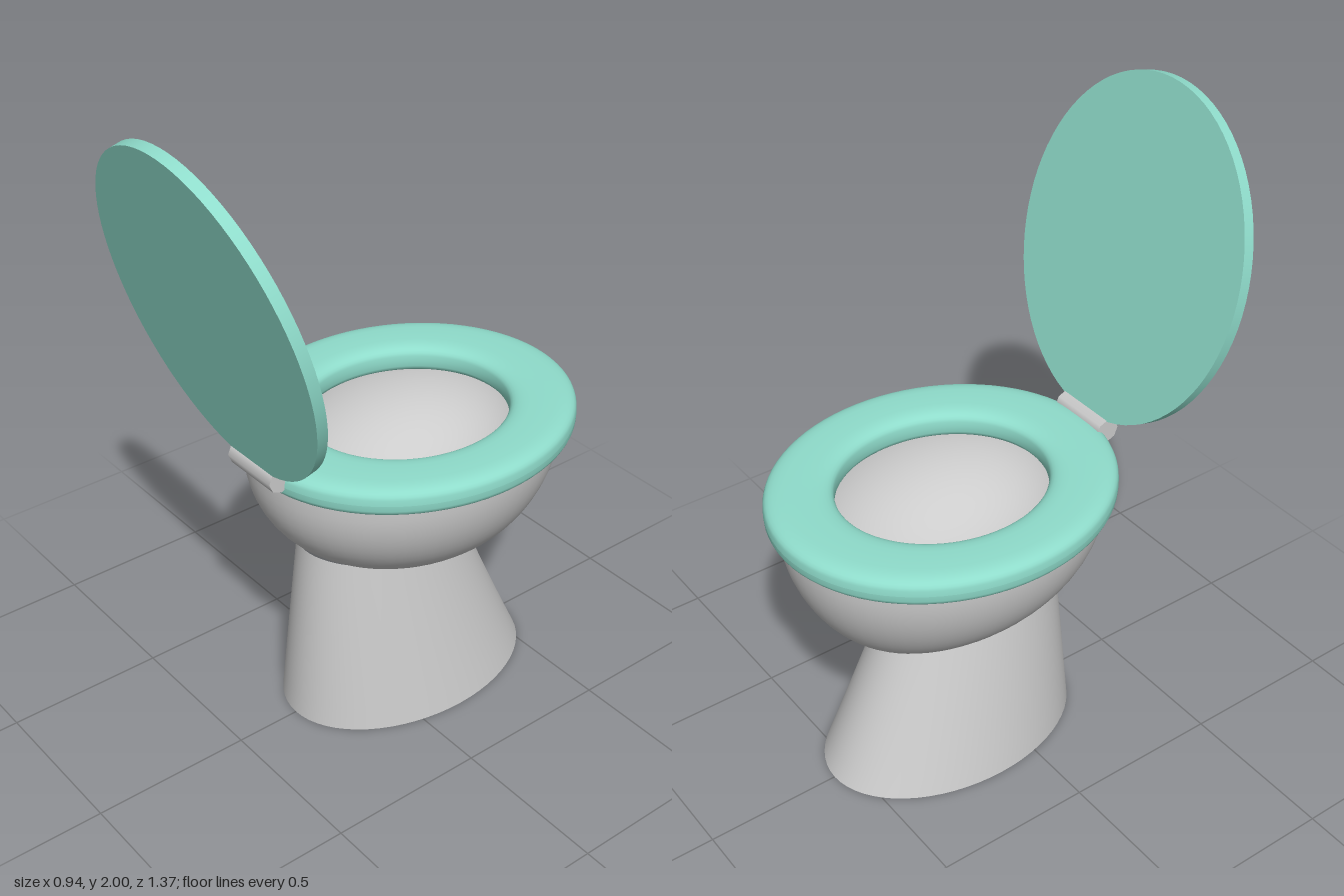
import * as THREE from 'three';

const grey = new THREE.MeshStandardMaterial({ color: 0xcccccc });
const mint = new THREE.MeshStandardMaterial({ color: 0x8fdccb });

// Skin over elliptical rings [y, radiusX, centreZ, radiusZ, slope]; a doubled ring makes a hard edge
function loft(rings, n = 64) {
  const pos = [], index = [];
  rings.forEach(([y, rx, zc, rz, slope = 0], i) => {
    for (let j = 0; j < n; j++) {
      const a = (j / n) * Math.PI * 2;
      const dz = rz * Math.sin(a);
      pos.push(rx * Math.cos(a), y + slope * dz, zc + dz);
      if (i === rings.length - 1) continue;
      const p = i * n + j, q = i * n + (j + 1) % n;
      index.push(p, p + n, q, q, p + n, q + n);
    }
  });
  const geo = new THREE.BufferGeometry();
  geo.setAttribute('position', new THREE.Float32BufferAttribute(pos, 3));
  geo.setIndex(index);
  geo.computeVertexNormals();
  return geo;
}

export function createModel() {
  const group = new THREE.Group();
  const add = (name, geo, mat) => {
    const mesh = new THREE.Mesh(geo, mat);
    mesh.name = name;
    group.add(mesh);
    return mesh;
  };

  // Pedestal: flared foot, top cut on a slope under the bowl
  const foot = [0, 0.29, -0.14, 0.43];
  const neck = [0.545, 0.195, -0.054, 0.292, 0.185];
  const pedestal = [[0, 0, -0.14, 0], foot, foot];
  for (let i = 1; i <= 8; i++) {
    const t = i / 8;
    pedestal.push([0, 1, 2, 3, 4].map(k => THREE.MathUtils.lerp(foot[k] ?? 0, neck[k], t)));
  }
  add('pedestal', loft(pedestal), grey);

  // Bowl: outer shell (keel pushed to -z), rim, inner basin and drain well
  const bowl = [];
  const steps = 20;
  for (let i = steps; i >= 0; i--) {
    const a = (i / steps) * Math.PI / 2;
    const c = Math.max(Math.cos(a), 0);
    bowl.push([0.89 - 0.421 * Math.sin(a), 0.42 * c,
      -0.137 - 0.163 * (1 - c) ** 1.6, 0.511 * c ** 0.9]);
  }
  const rim = [0.91, 0.42, -0.137, 0.511], lip = [0.91, 0.36, -0.145, 0.44];
  bowl.push(rim, rim, lip, lip);
  const well = 0.11 / 0.36;
  for (let i = 1; i <= 14; i++) {
    const s = THREE.MathUtils.lerp(Math.PI / 2, Math.asin(well), i / 14);
    bowl.push([0.91 - 0.34 * Math.cos(s), 0.36 * Math.sin(s), -0.145, 0.44 * Math.sin(s) * 1.06]);
  }
  const edge = [...bowl[bowl.length - 1]];
  bowl.push(edge);
  for (let i = 1; i <= 8; i++) {
    const a = (i / 8) * Math.PI / 2;
    const c = Math.max(Math.cos(a), 0);
    bowl.push([edge[0] - 0.07 * Math.sin(a), edge[1] * c, -0.145, edge[3] * c]);
  }
  add('bowl', loft(bowl), grey);

  // Seat: oval ring with a softly squared section
  const seat = [];
  const soft = v => Math.sign(v) * Math.abs(v) ** 0.6;
  for (let i = 0; i <= 32; i++) {
    const a = (i / 32) * Math.PI * 2;
    const r = 0.3785 + 0.0935 * soft(Math.cos(a));
    seat.push([0.9375 + 0.0475 * soft(Math.sin(a)), r, -0.145, r * 1.136]);
  }
  add('seat', loft(seat, 80), mint);

  // Hinge barrel
  const hinge = add('hinge', new THREE.CylinderGeometry(0.04, 0.04, 0.2, 8), grey);
  hinge.rotation.z = Math.PI / 2;
  hinge.position.set(0, 0.967, 0.39);

  // Lid: thin oval plate leaning back
  const lidGeo = new THREE.CylinderGeometry(1, 1, 0.035, 80);
  lidGeo.scale(0.453, 1, 0.522);
  const lid = add('lid', lidGeo, mint);
  lid.rotation.x = Math.PI / 2 + THREE.MathUtils.degToRad(14.9);
  lid.position.set(0, 1.49, 0.533);

  return group;
}
